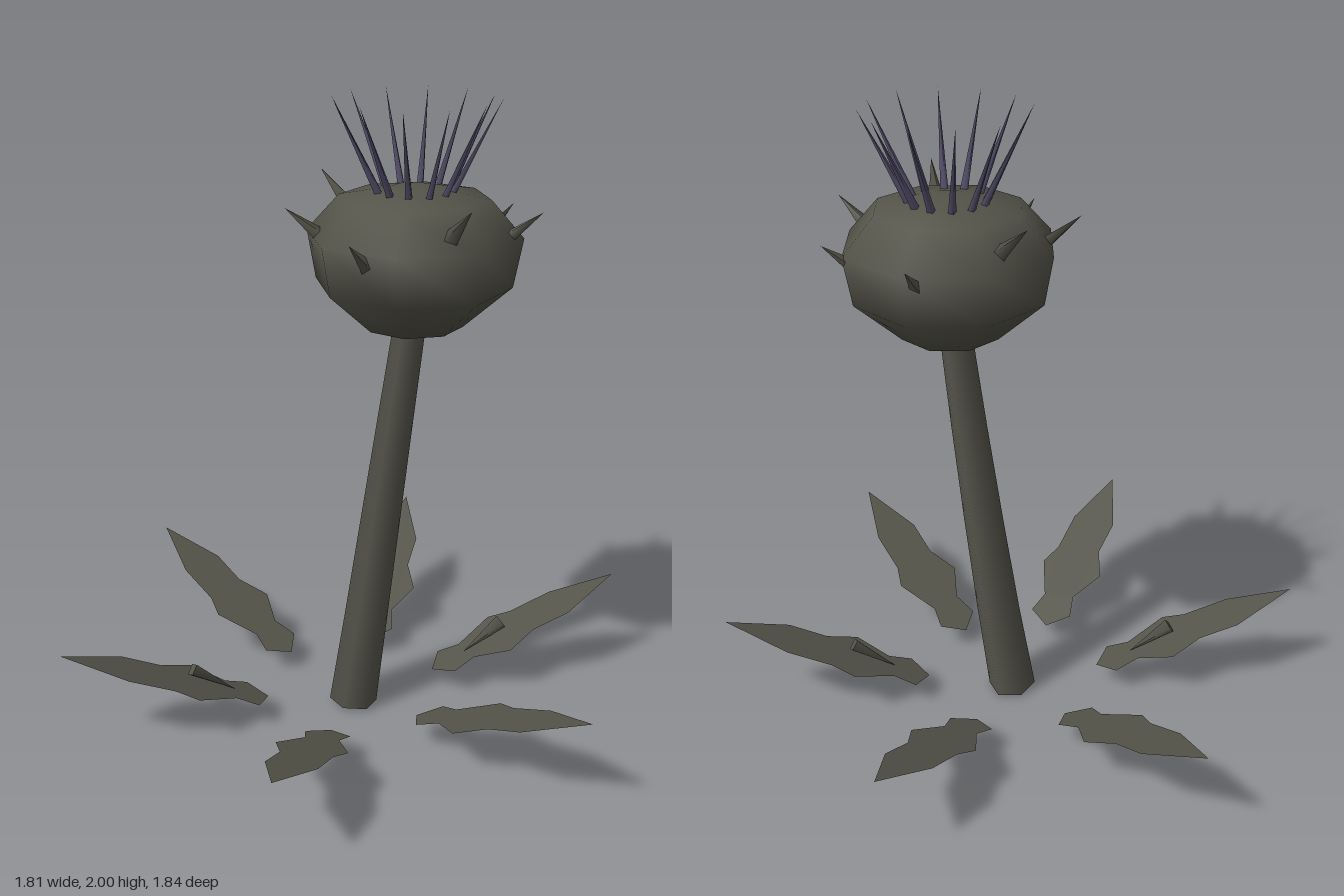
import * as THREE from 'three';

const plant = new THREE.MeshStandardMaterial({ color: 0x55544a });
plant.name = 'olive grey';
const leafMat = new THREE.MeshStandardMaterial({ color: 0x55544a, side: THREE.DoubleSide });
leafMat.name = 'olive grey leaf';
const purple = new THREE.MeshStandardMaterial({ color: 0x57516e });
purple.name = 'dusky purple';

const HEAD = new THREE.Vector3(0.17, 0, 0.08);

// Point at an angle and radius around a centre; angle 0 is +x, 90 degrees is +z
function polar(centre, angle, r, y) {
  return new THREE.Vector3(centre.x + Math.cos(angle) * r, y, centre.z + Math.sin(angle) * r);
}

function add(parent, name, geometry, material) {
  const mesh = new THREE.Mesh(geometry, material);
  mesh.name = name;
  parent.add(mesh);
  return mesh;
}

// Cone whose base sits at one point and whose tip reaches another
function addSpike(parent, name, base, tip, radius, material) {
  const dir = tip.clone().sub(base);
  const spike = add(parent, name, new THREE.ConeGeometry(radius, dir.length(), 4), material);
  spike.position.copy(base).add(tip).multiplyScalar(0.5);
  spike.quaternion.setFromUnitVectors(new THREE.Vector3(0, 1, 0), dir.normalize());
}

// Tapered, gently bent stem
function stemGeometry() {
  const height = 1.34;
  const g = new THREE.CylinderGeometry(0.05, 0.078, height, 6, 4);
  g.translate(0, height / 2, 0);
  const p = g.attributes.position;
  for (let i = 0; i < p.count; i++) {
    const t = p.getY(i) / height;
    p.setX(i, p.getX(i) + 0.2 * t - 0.045 * t * t);
    p.setZ(i, p.getZ(i) + 0.01 + 0.02 * t + 0.06 * t * t);
    if (t < 0.01) p.setY(i, 0.012 - p.getX(i) * 0.12);
  }
  return g;
}

// Flat jagged blade: x is the distance from the centre, z the half width
function leafGeometry() {
  const outline = [
    [0.287, 0], [0.343, 0.069], [0.42, 0.05], [0.525, 0.112], [0.625, 0.07], [0.748, 0.078],
    [0.945, 0], [0.748, -0.078], [0.605, -0.085], [0.535, -0.115], [0.405, -0.055], [0.335, -0.075],
  ];
  const g = new THREE.ShapeGeometry(new THREE.Shape(outline.map(([u, v]) => new THREE.Vector2(u, -v))));
  g.rotateX(-Math.PI / 2);
  const p = g.attributes.position;
  for (let i = 0; i < p.count; i++) p.setY(i, 0.07 + (p.getX(i) - 0.287) * 0.403);
  g.computeVertexNormals();
  return g;
}

export function createModel() {
  const model = new THREE.Group();
  model.name = 'thistle';

  add(model, 'stem', stemGeometry(), plant);

  // Squat eight-sided flower head
  const profile = [[0, 1.32], [0.155, 1.32], [0.3, 1.45], [0.327, 1.6], [0.228, 1.71], [0.07, 1.74], [0, 1.74]]
    .map(([r, y]) => new THREE.Vector2(r, y));
  add(model, 'flowerHead', new THREE.LatheGeometry(profile, 8), plant).position.copy(HEAD);

  // Thorns around the head, at three repeating heights
  const thorns = new THREE.Group();
  thorns.name = 'headThorns';
  model.add(thorns);
  for (let i = 0; i < 7; i++) {
    const a = (i / 7) * Math.PI * 2;
    const tipY = [1.645, 1.69, 1.745][i % 3];
    addSpike(thorns, 'thorn', polar(HEAD, a, 0.25, tipY - 0.11), polar(HEAD, a, 0.385, tipY), 0.03, plant);
  }

  // Crown of long, thin spikes
  const crown = new THREE.Group();
  crown.name = 'crown';
  model.add(crown);
  for (let i = 0; i < 12; i++) {
    const a = ((i + 0.5) / 12) * Math.PI * 2;
    addSpike(crown, 'crownSpike', polar(HEAD, a, 0.1, 1.7), polar(HEAD, a, 0.25, 2), 0.014, purple);
  }

  // Six rising leaves; two opposite ones carry a thorn
  const leaf = leafGeometry();
  const origin = new THREE.Vector3();
  for (let i = 0; i < 6; i++) {
    const a = THREE.MathUtils.degToRad(17.2 + i * 60);
    add(model, 'leaf', leaf, leafMat).rotation.y = -a;
    if (i % 3 === 0) {
      addSpike(model, 'leafThorn', polar(origin, a, 0.535, 0.215), polar(origin, a, 0.4, 0.12), 0.025, plant);
    }
  }
  return model;
}
